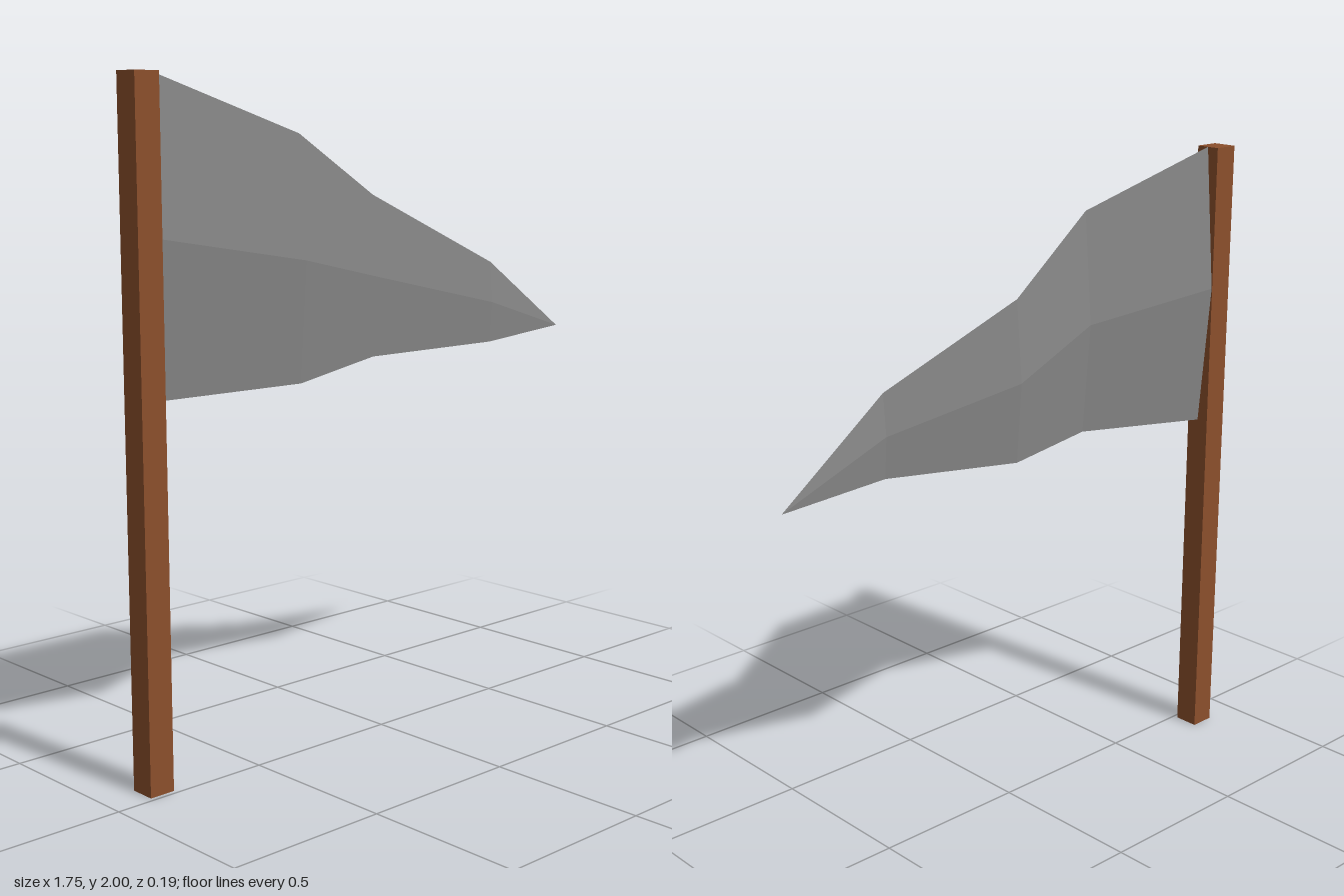
import * as THREE from 'three';

// Diamond cross-sections along the pennant: x, top y, bottom y, centre z, half thickness
const SECTIONS = [
  [-0.8, 2.0, 1.11, -0.055, 0.038],
  [-0.38, 1.835, 1.13, 0.064, 0.029],
  [0.04, 1.65, 1.155, -0.078, 0.02],
  [0.456, 1.43, 1.175, 0.027, 0.01],
  [0.87, 1.19, 1.19, -0.047, 0],
];

function pennantGeometry() {
  const rings = SECTIONS.map(([x, top, bottom, z, t]) => {
    const mid = (top + bottom) / 2;
    return [[x, top, z], [x, mid, z + t], [x, bottom, z], [x, mid, z - t]];
  });
  const pos = [];
  const tri = (a, b, c) => pos.push(...a, ...b, ...c);
  const last = rings.length - 2;
  for (let i = 0; i <= last; i++) {
    for (let j = 0; j < 4; j++) {
      const k = (j + 1) % 4;
      tri(rings[i][j], rings[i][k], rings[i + 1][k]);
      // The final section closes to a point
      if (i < last) tri(rings[i][j], rings[i + 1][k], rings[i + 1][j]);
    }
  }
  // Cap against the pole
  const [top, front, bottom, back] = rings[0];
  tri(top, back, bottom);
  tri(top, bottom, front);
  const geometry = new THREE.BufferGeometry();
  geometry.setAttribute('position', new THREE.Float32BufferAttribute(pos, 3));
  geometry.computeVertexNormals();
  return geometry;
}

export function createModel() {
  const wood = new THREE.MeshStandardMaterial({ color: 0x8b4f2c });
  wood.name = 'brown wood';
  const cloth = new THREE.MeshStandardMaterial({ color: 0x888888 });
  cloth.name = 'grey cloth';

  const group = new THREE.Group();
  group.name = 'pennantFlag';

  // Square pole
  const pole = new THREE.Mesh(new THREE.BoxGeometry(0.08, 2, 0.08), wood);
  pole.name = 'pole';
  pole.position.set(-0.84, 1, -0.055);
  group.add(pole);

  // Rippling tapered pennant
  const pennant = new THREE.Mesh(pennantGeometry(), cloth);
  pennant.name = 'pennant';
  group.add(pennant);

  return group;
}
